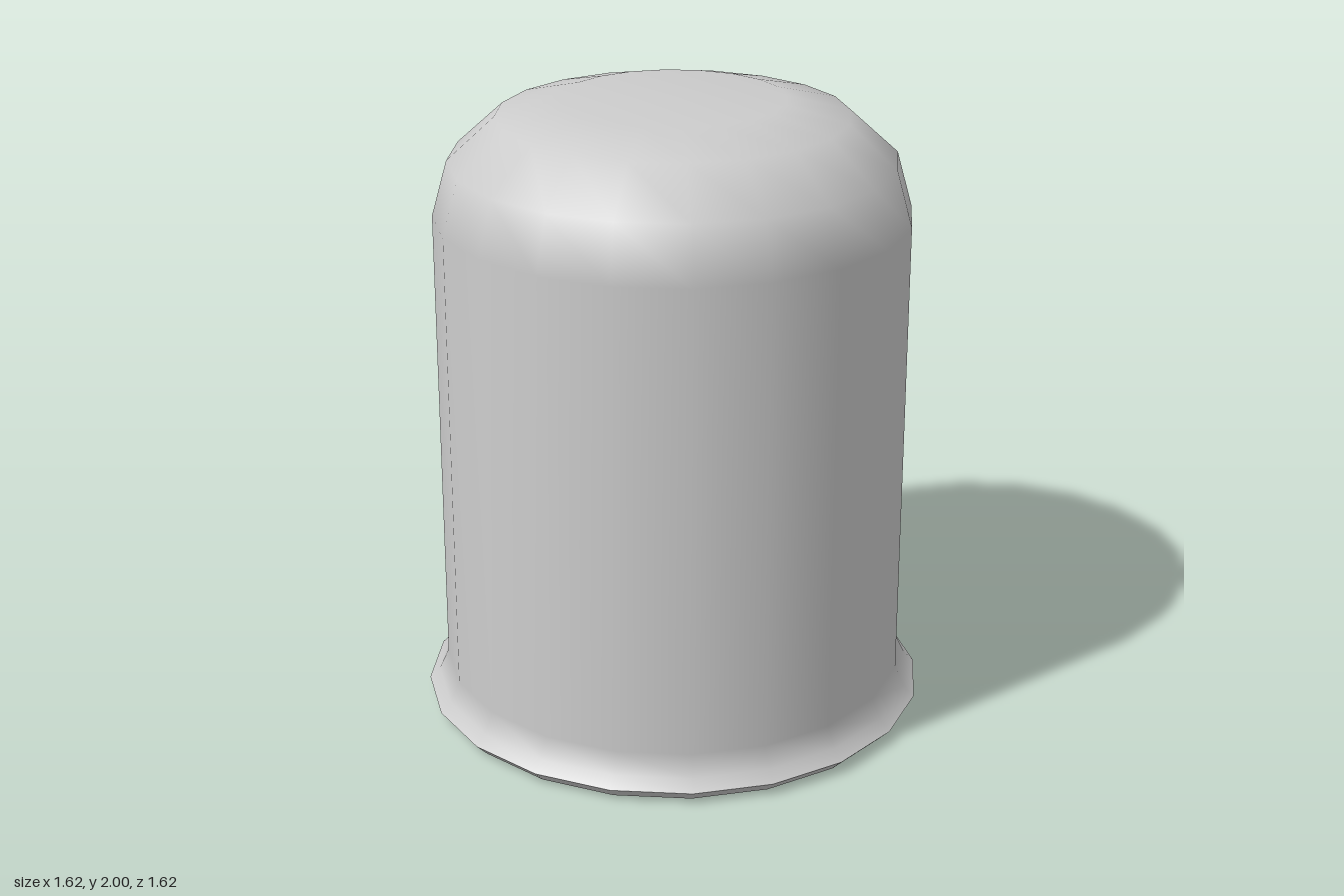
import * as THREE from 'three';

const SIDES = 20;

// Turn a profile of [radius, height] points, listed from bottom to top
function turned(name, profile, material) {
  const points = profile.map(([r, y]) => new THREE.Vector2(r, y));
  const mesh = new THREE.Mesh(new THREE.LatheGeometry(points, SIDES), material);
  mesh.name = name;
  return mesh;
}

export function createModel() {
  const group = new THREE.Group();
  group.name = 'domedCap';
  // Thin shell, open at the bottom
  const material = new THREE.MeshStandardMaterial({ color: 0xcccccc, side: THREE.DoubleSide });

  // Chamfer under the lip, kept separate for a sharp edge
  group.add(turned('rimChamfer', [[0.77, 0], [0.81, 0.04]], material));

  // Flared lip, straight wall and rounded shoulder up to the flat top
  group.add(turned('shell', [
    [0.81, 0.04], [0.777, 0.073], [0.746, 0.14],
    [0.746, 1.64], [0.697, 1.815], [0.548, 1.95], [0.35, 2], [0, 2],
  ], material));

  return group;
}
